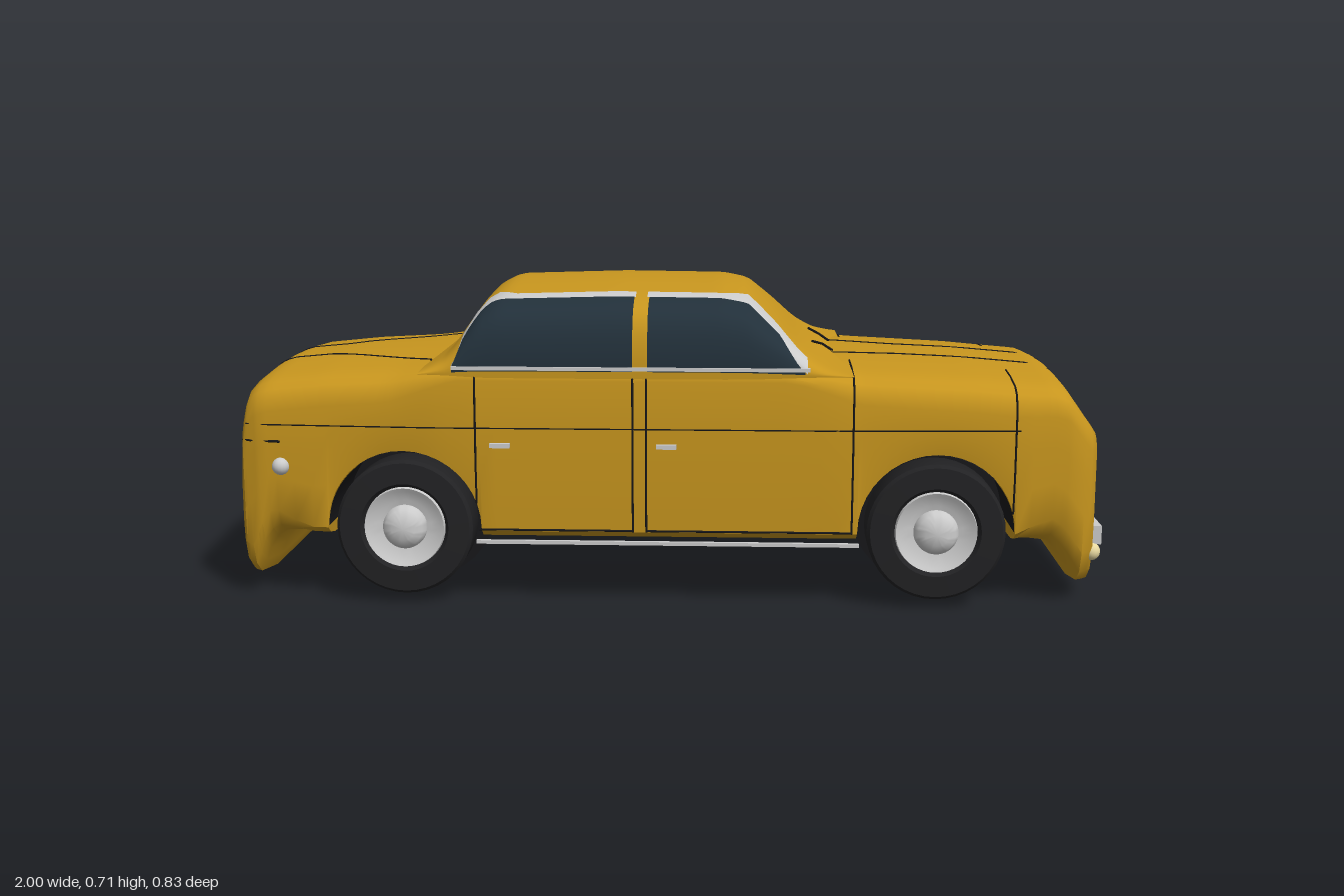
import * as THREE from 'three';
import { toCreasedNormals } from 'three/addons/utils/BufferGeometryUtils.js';

const mat = (color, side = THREE.FrontSide) => new THREE.MeshStandardMaterial({ color, side });
const GOLD = mat(0xc8961e), BLACK = mat(0x17171a, THREE.DoubleSide), GLASS = mat(0x22303a);
const GREY = mat(0xcccccc), TYRE = mat(0x222224), CREAM = mat(0xe8d9a0), RED = mat(0x8a1420);
const WHEELS = [-0.57, 0.62], AXLE = 0.18, ARCH = 0.175;

// Piecewise linear table lookup, slightly smoothed
function lerp(table, x) {
  if (x <= table[0][0]) return table[0][1];
  for (let i = 1; i < table.length; i++) {
    const [a, p] = table[i - 1], [b, q] = table[i];
    if (x <= b) return p + (q - p) * (x - a) / (b - a);
  }
  return table[table.length - 1][1];
}
const soft = (t, x, d = 0.012) => (lerp(t, x - d) + 2 * lerp(t, x) + lerp(t, x + d)) / 4;

// Skin a list of equal-length rings of [x, y, z]
function loft(rings, caps = false) {
  const n = rings[0].length, pos = rings.flat(2), idx = [];
  for (let i = 0; i + 1 < rings.length; i++)
    for (let j = 0; j + 1 < n; j++) {
      const a = i * n + j, b = a + n;
      idx.push(a, b, b + 1, a, b + 1, a + 1);
    }
  if (caps) [0, rings.length - 1].forEach((r, end) => {
    const c = pos.length / 3, ring = rings[r];
    const ys = ring.map(p => p[1]);
    pos.push(ring[0][0], (Math.min(...ys) + Math.max(...ys)) / 2, 0);
    for (let j = 0; j + 1 < n; j++) {
      const a = r * n + j;
      end ? idx.push(c, a + 1, a) : idx.push(c, a, a + 1);
    }
  });
  const g = new THREE.BufferGeometry();
  g.setAttribute('position', new THREE.Float32BufferAttribute(pos, 3));
  g.setIndex(idx);
  g.computeVertexNormals();
  return g;
}

// Lower body profiles along its length
const TOP = [[-0.952, 0.33], [-0.94, 0.46], [-0.925, 0.505], [-0.89, 0.522], [-0.75, 0.535], [-0.5, 0.546],
  [0.4, 0.546], [0.7, 0.533], [0.88, 0.518], [0.91, 0.505], [0.978, 0.41]];
const BOTTOM = [[-0.952, 0.035], [-0.92, 0.03], [-0.9, 0.09], [-0.87, 0.135], [-0.82, 0.145],
  [0.82, 0.145], [0.88, 0.13], [0.92, 0.08], [0.95, 0.03], [0.978, 0.03]];
const WIDTH = [[-0.952, 0.335], [-0.94, 0.36], [-0.9, 0.375], [-0.7, 0.388], [-0.5, 0.4], [0.4, 0.4],
  [0.8, 0.382], [0.92, 0.366], [0.96, 0.352], [0.978, 0.33]];
const CORNER = [[-0.952, 0.1], [-0.88, 0.09], [-0.8, 0.03], [0.8, 0.03], [0.9, 0.09], [0.978, 0.1]];
const SHOULDER = [[-0.9, 1], [-0.6, 0.9], [-0.45, 0.35], [0.3, 0.35], [0.45, 0.9], [0.8, 1], [0.978, 0.8]];

function halfSection(x) {
  const yt = soft(TOP, x, 0.006), yb = lerp(BOTTOM, x), w = lerp(WIDTH, x), r = lerp(CORNER, x), s = soft(SHOULDER, x);
  let ya = yb, inWell = false;
  for (const c of WHEELS) {
    const d = Math.abs(x - c);
    if (d <= ARCH) { ya = AXLE + Math.sqrt(Math.max(0, ARCH * ARCH - d * d)); inWell = true; }
  }
  const k = inWell ? 0 : r, top = yt - 0.085 * s;
  const low = ya + k;
  return [[0, yb], [0.17, yb], [0.17, ya], [w * 0.82, ya + k * 0.2], [w * 0.93, ya + k * 0.5], [w * 0.985, low],
    [w, low + (top - low) * 0.35], [w, low + (top - low) * 0.7], [w, top], [w * (1 - 0.012 * s), yt - 0.06 * s],
    [w * (1 - 0.045 * s), yt - 0.038 * s], [w * (1 - 0.11 * s), yt - 0.024 * s], [w * 0.7, yt - 0.012 * s],
    [w * 0.35, yt - 0.003], [0, yt]];
}
function bodyRing(x) {
  const h = halfSection(x);
  return [...h, ...h.slice(0, -1).reverse().map(([z, y]) => [-z, y])].map(([z, y]) => [x, y, z]);
}
// Height of the bonnet or boot lid at a point
const deckY = (x, z) => lerp(halfSection(x).slice(8).reverse(), Math.abs(z));

// Cabin: one arched cross-section scaled to a roof line
const ROOF = [[-0.53, 0.535], [-0.47, 0.58], [-0.43, 0.645], [-0.4, 0.69], [-0.36, 0.711], [-0.1, 0.719],
  [0.14, 0.716], [0.2, 0.703], [0.26, 0.65], [0.32, 0.588], [0.37, 0.553], [0.43, 0.535]];
const ARC = new THREE.SplineCurve([[0.4, -0.04], [0.399, 0.22], [0.386, 0.52], [0.355, 0.73], [0.29, 0.86],
  [0.2, 0.93], [0.1, 0.98], [0, 1]].map(p => new THREE.Vector2(...p)));
function cabinPoint(x, t, lift = 0) {
  const p = ARC.getPoint(t);
  return [x, 0.53 + (soft(ROOF, x) - 0.53) * p.y + lift, p.x + lift];
}
function cabinPatch(x0, x1, low, high, side, lift) {
  const rings = [];
  for (let i = 0; i <= 36; i++) {
    const x = x0 + (x1 - x0) * i / 36, ring = [];
    for (let j = 0; j <= 12; j++) {
      const [a, b, c] = cabinPoint(x, low(x) + (high(x) - low(x)) * j / 12, lift);
      ring.push([a, b, c * side]);
    }
    rings.push(side > 0 ? ring : ring.reverse());
  }
  return loft(rings);
}
const GLASS_TOP = [[-0.46, 0.06], [-0.43, 0.4], [-0.38, 0.56], [0.2, 0.56], [0.27, 0.45], [0.33, 0.06]];
const TRIM_TOP = [[-0.46, 0.08], [-0.43, 0.5], [-0.38, 0.7], [-0.33, 0.63], [0.14, 0.63], [0.2, 0.7], [0.27, 0.58], [0.33, 0.4]];

export function createModel() {
  const car = new THREE.Group();
  car.name = 'car';
  const add = (name, geo, material, x = 0, y = 0, z = 0, parent = car) => {
    const m = new THREE.Mesh(geo, material);
    m.name = name;
    m.position.set(x, y, z);
    parent.add(m);
    return m;
  };
  const box = (name, m, w, h, d, x, y, z) => add(name, new THREE.BoxGeometry(w, h, d), m, x, y, z);
  const line = (name, pts, m = BLACK, r = 0.0025) => {
    const path = new THREE.CurvePath();
    const v = pts.map(p => new THREE.Vector3(...p));
    for (let i = 1; i < v.length; i++) path.add(new THREE.LineCurve3(v[i - 1], v[i]));
    return add(name, new THREE.TubeGeometry(path, 8 * (v.length - 1), r, 5), m);
  };
  const deckLine = (name, pts) => {
    const out = [];
    for (let i = 1; i < pts.length; i++)
      for (let k = i > 1 ? 1 : 0; k <= 6; k++) {
        const x = pts[i - 1][0] + (pts[i][0] - pts[i - 1][0]) * k / 6, z = pts[i - 1][1] + (pts[i][1] - pts[i - 1][1]) * k / 6;
        out.push([x, deckY(x, z), z]);
      }
    line(name, out);
  };

  // Body shell, with stations following the wheel arches
  const xs = [-0.952, -0.946, -0.94, -0.932, -0.925, -0.91, -0.9, -0.88, -0.86, -0.82, -0.78, 0.83, 0.86, 0.88,
    0.9, 0.91, 0.92, 0.935, 0.95, 0.965, 0.978];
  for (let x = -0.36; x < 0.43; x += 0.04) xs.push(x);
  for (const c of WHEELS) {
    xs.push(c - ARCH - 0.001, c + ARCH + 0.001);
    for (let k = 0; k <= 20; k++) xs.push(c + ARCH * 0.9999 * Math.cos(k * Math.PI / 20));
  }
  xs.sort((a, b) => a - b);
  add('body', toCreasedNormals(loft(xs.map(bodyRing), true), 0.75), GOLD);

  // Cabin
  const rings = [];
  for (let i = 0; i <= 64; i++) {
    const x = -0.53 + 0.96 * i / 64, half = [];
    for (let j = 0; j <= 21; j++) half.push(cabinPoint(x, j / 21));
    rings.push([...half, ...half.slice(0, -1).reverse().map(([a, b, c]) => [a, b, -c])]);
  }
  add('cabin', loft(rings), GOLD);

  for (const s of [1, -1]) {
    // Side windows, light trim above them and the pillar between
    const top = x => lerp(GLASS_TOP, x), base = () => 0.05;
    add('rearSideWindow', cabinPatch(-0.455, -0.055, base, top, s, 0.003), GLASS);
    add('frontSideWindow', cabinPatch(-0.022, 0.325, base, top, s, 0.003), GLASS);
    add('windowTrim', cabinPatch(-0.455, 0.33, top, x => lerp(TRIM_TOP, x), s, 0.0025), GREY);
    add('doorPillar', cabinPatch(-0.052, -0.026, base, () => 0.63, s, 0.006), GOLD);
    box('windowSill', GREY, 0.79, 0.008, 0.012, -0.06, 0.545, s * 0.402);
    box('sillStrip', GREY, 0.86, 0.008, 0.01, 0.02, 0.145, s * 0.375);

    // Door and panel seams
    for (const x of [-0.405, -0.055, -0.025, 0.432, 0.79]) {
      const pts = halfSection(x).slice(5, 12).map(([z, y]) => [x, y, s * z]);
      line('panelSeam', pts);
    }
    for (const [a, b] of [[-0.4, -0.055], [-0.025, 0.432]])
      line('doorBottomSeam', [[a, 0.178, s * 0.394], [b, 0.178, s * 0.394]]);
    line('waistSeam', [-0.93, -0.9, -0.7, -0.5, 0.4, 0.8].map(x => [x, 0.41, s * (lerp(WIDTH, x) - 0.001)]), BLACK, 0.002);
    for (const x of [-0.35, 0.02]) box('doorHandle', GREY, 0.045, 0.01, 0.014, x, 0.372, s * 0.403);
    deckLine('bonnetSeam', [[0.38, s * 0.11], [0.55, s * 0.085], [0.91, s * 0.085]]);
    deckLine('bootSeam', [[-0.92, s * 0.09], [-0.79, s * 0.09], [-0.53, s * 0.23], [-0.5, s * 0.37]]);
    for (const x of [0.432, 0.79]) deckLine('bonnetCrossSeam', [[x, s * 0.2], [x, s * 0.36]]);

    // Lamps and fittings
    add('frontLamp', new THREE.SphereGeometry(0.021, 16, 12), CREAM, 0.978, 0.122, s * 0.31);
    add('sideLamp', new THREE.SphereGeometry(0.02, 16, 12), GREY, -0.85, 0.315, s * 0.377);
    box('tailLamp', RED, 0.01, 0.08, 0.014, -0.951, 0.27, s * 0.3);
    line('frontGuard', [[0.975, 0.2, s * 0.237], [0.988, 0.2, s * 0.237], [0.988, 0.272, s * 0.237], [0.975, 0.272, s * 0.237]], GREY, 0.003);
    line('wiper', [[0.4, 0.545, s * 0.085], [0.375, 0.562, s * 0.09], [0.35, 0.572, s * 0.12]], BLACK, 0.003);

    for (const x of WHEELS) {
      // Wheel well: half-round liner and inner disc
      const liner = add('wheelWell', new THREE.CylinderGeometry(0.173, 0.173, 0.205, 32, 1, true, Math.PI / 2, Math.PI), BLACK, x, AXLE, s * 0.278);
      liner.rotation.x = Math.PI / 2;
      const disc = add('wellDisc', new THREE.CylinderGeometry(ARCH, ARCH, 0.006, 32), BLACK, x, AXLE, s * 0.175);
      disc.rotation.x = Math.PI / 2;

      // Wheel
      const wheel = new THREE.Group();
      wheel.name = 'wheel';
      wheel.position.set(x, AXLE, s * 0.335);
      wheel.rotation.y = s > 0 ? 0 : Math.PI;
      car.add(wheel);
      const turn = (name, pts, m) => {
        const g = new THREE.LatheGeometry(pts.map(p => new THREE.Vector2(...p)), 40);
        add(name, toCreasedNormals(g, 0.6), m, 0, 0, 0, wheel).rotation.x = Math.PI / 2;
      };
      turn('tyre', [[0, -0.055], [0.125, -0.055], [0.145, -0.045], [0.154, -0.03], [0.154, 0.05], [0.147, 0.058], [0.1, 0.06], [0.088, 0.045]], TYRE);
      turn('rim', [[0.093, 0.045], [0.09, 0.06], [0.082, 0.056], [0.06, 0.046], [0, 0.046]], GREY);
      turn('hubCap', [[0.05, 0.045], [0.049, 0.056], [0.042, 0.067], [0.026, 0.076], [0, 0.08]], GREY);
    }
  }

  // Front bumper and plate
  box('frontBumper', GREY, 0.024, 0.042, 0.63, 0.988, 0.16, 0);
  box('frontPlateFrame', BLACK, 0.012, 0.03, 0.23, 0.982, 0.193, 0);
  box('frontPlate', GREY, 0.014, 0.02, 0.216, 0.983, 0.191, 0);

  // Rear bumper, plate, boot handle, seam and exhaust
  box('rearBumper', GREY, 0.014, 0.03, 0.33, -0.957, 0.15, 0);
  box('rearPlateFrame', BLACK, 0.01, 0.05, 0.25, -0.955, 0.19, 0);
  box('rearPlate', GREY, 0.012, 0.036, 0.234, -0.956, 0.19, 0);
  box('bootHandle', GREY, 0.016, 0.012, 0.1, -0.946, 0.445, 0);
  line('bootLidSeam', [[-0.85, 0.372, 0.381], [-0.938, 0.372, 0.362], [-0.95, 0.372, 0.3], [-0.95, 0.365, 0], [-0.95, 0.372, -0.3], [-0.938, 0.372, -0.362], [-0.85, 0.372, -0.381]], BLACK, 0.003);
  add('exhaust', new THREE.CylinderGeometry(0.017, 0.017, 0.07, 16), GREY, -0.965, 0.143, 0.11).rotation.z = Math.PI / 2;
  return car;
}
